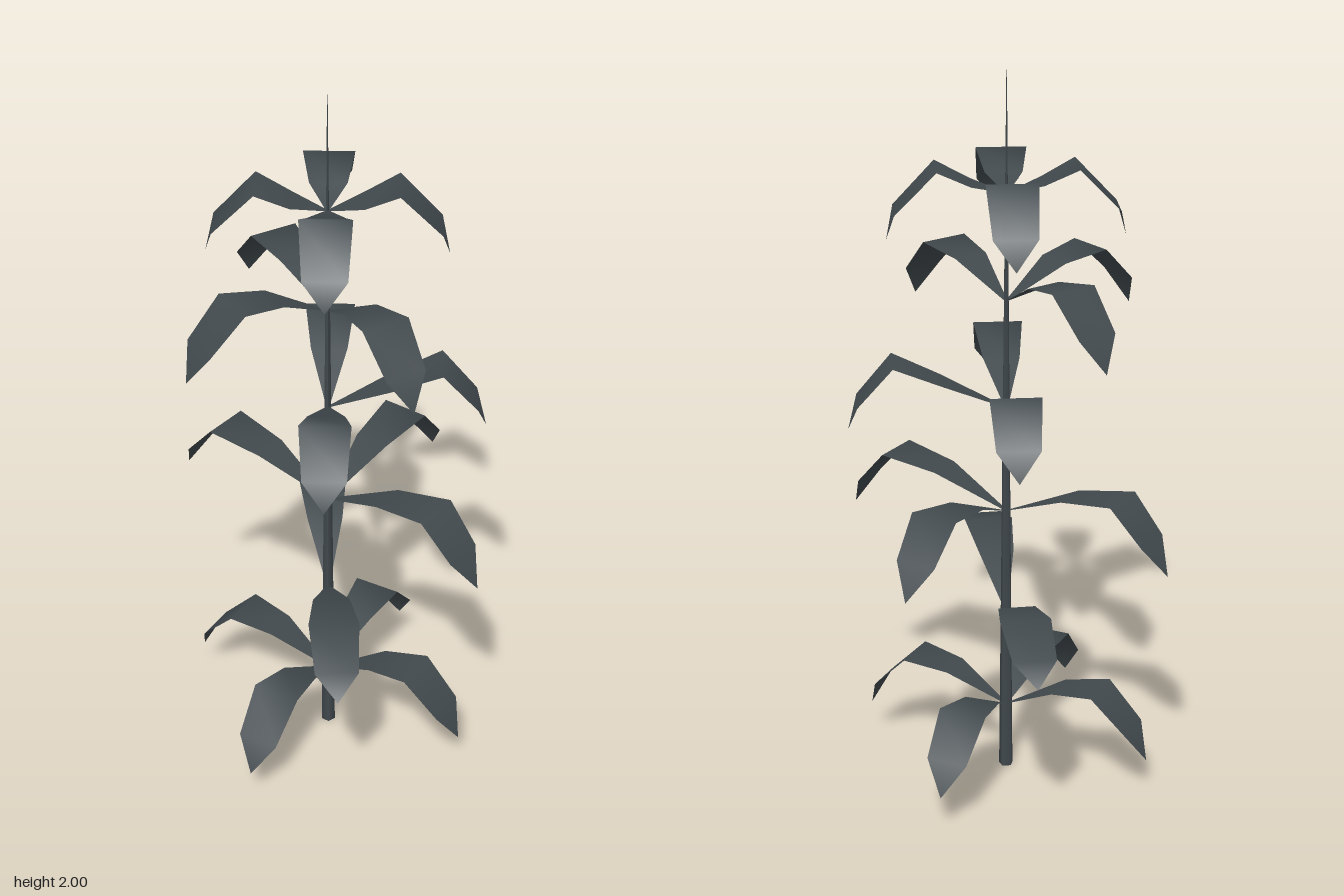
import * as THREE from 'three';

// Half widths of a leaf from the stem to the tip
const HALF_WIDTHS = [0.004, 0.05, 0.068, 0.058, 0];

// A flat strip bent along a profile of [distance from stem, height] points
function leafGeometry(profile) {
  const positions = [], index = [];
  profile.forEach(([r, y], i) => {
    const w = HALF_WIDTHS[i];
    if (w > 0) positions.push(r, y, -w, r, y, w);
    else positions.push(r, y, 0);
    if (i === 0) return;
    const a = (i - 1) * 2;
    index.push(a, a + 1, a + 2);
    if (w > 0) index.push(a + 1, a + 3, a + 2);
  });
  const geometry = new THREE.BufferGeometry();
  geometry.setAttribute('position', new THREE.Float32BufferAttribute(positions, 3));
  geometry.setIndex(index);
  geometry.computeVertexNormals();
  return geometry;
}

// Leaf profiles, heights measured from the node on the stem
const medium = [[0, 0], [0.16, 0.085], [0.285, 0.105], [0.385, 0.005], [0.425, -0.085]];
const spreading = [[0, 0], [0.19, 0.097], [0.34, 0.13], [0.495, 0.085], [0.55, 0.03]];
const long = [[0, 0], [0.2, 0.085], [0.36, 0.11], [0.45, 0.01], [0.5, -0.08]];
const arched = [[0, 0], [0.17, 0.08], [0.305, 0.14], [0.4, 0.03], [0.425, -0.05]];
const small = [[0, 0], [0.095, 0.03], [0.185, 0.075], [0.295, -0.04], [0.315, -0.12]];

// Whorls from bottom to top; angles in degrees, from +x towards +z
const WHORLS = [
  { y: 0.19, profile: medium, angles: [31, 121, 211, 301] },
  { y: 0.48, profile: spreading, angles: [88, 268] },
  { y: 0.78, profile: long, angles: [38, 218, 308] },
  { y: 1.08, profile: arched, angles: [2, 92, 272] },
  { y: 1.38, profile: medium, angles: [60, 149, 240] },
  { y: 1.675, profile: small, angles: [2, 92, 182, 272] },
];

export function createModel() {
  const foliage = new THREE.MeshStandardMaterial({ color: 0x41494d });
  foliage.name = 'dark slate';
  foliage.side = THREE.DoubleSide;

  const plant = new THREE.Group();
  plant.name = 'plant';

  // Tapering stem ending in a fine spike
  const stem = new THREE.Mesh(new THREE.CylinderGeometry(0.0008, 0.02, 2, 5), foliage);
  stem.name = 'stem';
  stem.position.y = 1;
  plant.add(stem);

  // Leaves around each node
  WHORLS.forEach(({ y, profile, angles }, i) => {
    const whorl = new THREE.Group();
    whorl.name = `leafWhorl${i + 1}`;
    whorl.position.y = y;
    const geometry = leafGeometry(profile);
    for (const angle of angles) {
      const leaf = new THREE.Mesh(geometry, foliage);
      leaf.name = 'leaf';
      leaf.rotation.y = -THREE.MathUtils.degToRad(angle);
      whorl.add(leaf);
    }
    plant.add(whorl);
  });

  plant.position.x = -0.008;
  const model = new THREE.Group();
  model.name = 'leafyPlant';
  model.add(plant);
  return model;
}
